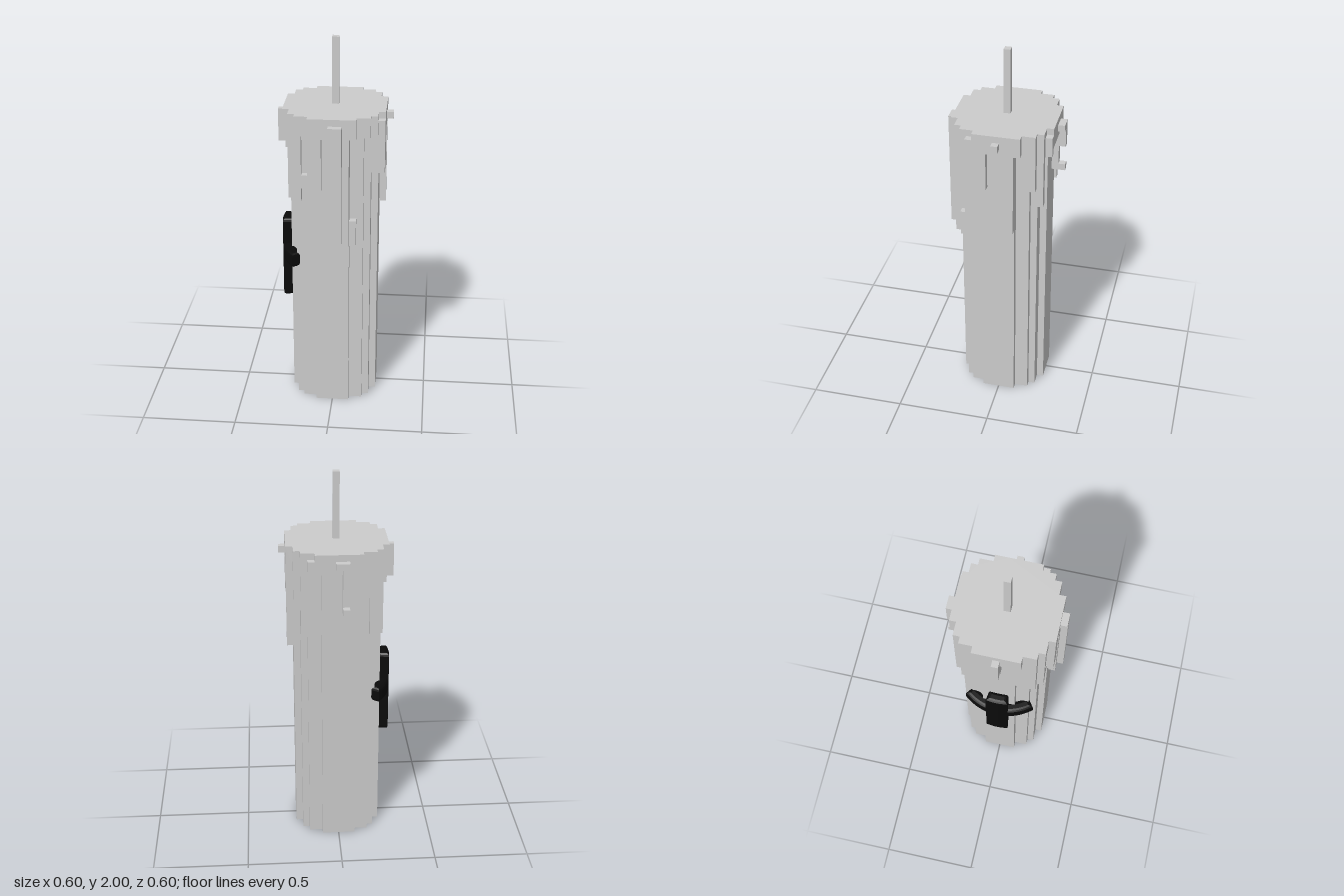
import * as THREE from 'three';

const V = 2 / 57; // edge of one cell
const wax = new THREE.MeshStandardMaterial({ color: 0xcccccc, flatShading: true });
const black = new THREE.MeshStandardMaterial({ color: 0x0a0a0a });

// Upright prism with a stepped round outline: reach[n] is the half width of row n in cells
function steppedPrism(reach, y0, y1) {
  const quadrant = [];
  reach.forEach((r, n) => {
    if (n > 0) quadrant.push([r + 0.5, n - 0.5]);
    quadrant.push([r + 0.5, n + 0.5]);
  });
  const pts = [];
  for (let q = 0; q < 4; q++) {
    const c = Math.round(Math.cos(q * Math.PI / 2)), s = Math.round(Math.sin(q * Math.PI / 2));
    // the last corner of a quadrant is followed by the first of the next
    for (const [x, y] of quadrant) pts.push(new THREE.Vector2((x * c - y * s) * V, (x * s + y * c) * V));
  }
  const g = new THREE.ExtrudeGeometry(new THREE.Shape(pts), { depth: (y1 - y0) * V, bevelEnabled: false });
  return g.rotateX(-Math.PI / 2).translate(0, y0 * V, 0);
}

// Block covering cells i0..i1, j0..j1 (x and z) between heights y0 and y1
function block(i0, i1, j0, j1, y0, y1) {
  const g = new THREE.BoxGeometry((i1 - i0 + 1) * V, (y1 - y0) * V, (j1 - j0 + 1) * V);
  return g.translate((i0 + i1) / 2 * V, (y0 + y1) / 2 * V, (j0 + j1) / 2 * V);
}

// Bar curved around the candle, facing -x
function curvedBar(halfAngle, y0, y1, bevel) {
  const inner = 0.222 + bevel, outer = 0.285 - bevel, a = halfAngle - bevel / 0.26;
  const shape = new THREE.Shape();
  shape.absarc(0, 0, outer, Math.PI - a, Math.PI + a, false);
  shape.absarc(0, 0, inner, Math.PI + a, Math.PI - a, true);
  const g = new THREE.ExtrudeGeometry(shape, {
    depth: y1 - y0 - 2 * bevel, bevelThickness: bevel, bevelSize: bevel, bevelSegments: 3, curveSegments: 16,
  });
  return g.rotateX(-Math.PI / 2).translate(0, y0 + bevel, 0);
}

export function createModel() {
  const model = new THREE.Group();
  const group = (name) => {
    const g = new THREE.Group();
    g.name = name;
    model.add(g);
    return g;
  };
  const add = (name, geometry, material = wax, parent = model) => {
    const mesh = new THREE.Mesh(geometry, material);
    mesh.name = name;
    parent.add(mesh);
  };

  // Candle body, overhanging rim and wick
  add('candleBody', steppedPrism([6, 6, 6, 5, 5, 4, 2], 0, 46));
  add('waxRim', steppedPrism([7, 7, 7, 7, 6, 6, 5, 3], 44, 47));
  add('wick', block(0, 0, 0, 0, 47, 57));

  // Wax runs over both corners of the -x side
  const drips = group('waxDrips');
  for (const side of [-1, 1]) {
    add('cornerRun', block(-6, -6, side * 4 - 1, side * 4 + 1, 34, 46), wax, drips);
    add('cornerRun', block(-5, -5, side * 5.5 - 0.5, side * 5.5 + 0.5, 34, 46), wax, drips);
  }

  // Single drips: x cells, z cells, bottom, top
  const singleDrips = [
    // front
    [0, 2, 7, 7, 27, 44], [3, 3, 6, 6, 27, 31], [1, 1, 8, 8, 28, 46], [0, 0, 8, 8, 45, 46],
    [-3, -2, 6, 7, 36, 44], [-4, -4, 6, 6, 36, 38],
    // +x side
    [7, 7, 4, 4, 40, 46], [6, 7, 2, 4, 38, 44], [7, 7, -2, -2, 31, 44], [8, 8, 0, 0, 45, 46],
    [5, 6, -5, -5, 38, 44], [5, 5, -6, -6, 35, 44],
    // back
    [4, 4, -7, -6, 43, 46], [-1, -1, -7, -7, 38, 44], [-1, -1, -8, -8, 38, 39],
    [-1, -1, -8, -8, 42, 46], [0, 0, -8, -8, 45, 46], [-4, -3, -6, -6, 40, 44],
    // -x side
    [-7, -7, 0, 0, 40, 44], [-8, -8, 0, 0, 41, 46],
  ];
  for (const d of singleDrips) add('waxDrip', block(...d), wax, drips);

  // Black cross wrapped around the -x side
  const cross = group('cross');
  add('crossUpright', curvedBar(0.22, 0.55, 1.01, 0.02), black, cross);
  add('crossArm', curvedBar(0.72, 0.78, 0.865, 0.02), black, cross);

  return model;
}
